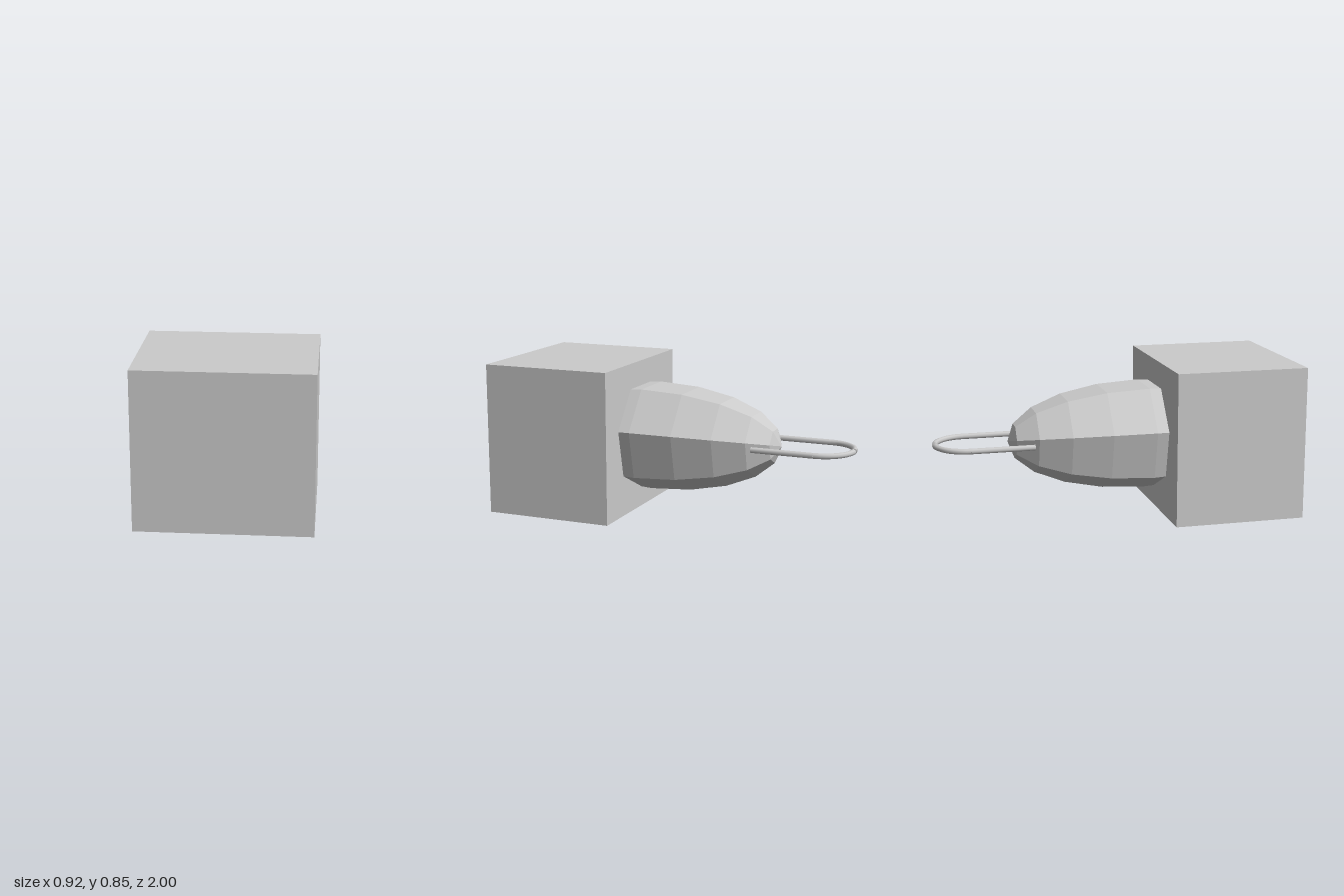
import * as THREE from 'three';

export function createModel() {
  const group = new THREE.Group();
  const flat = new THREE.MeshStandardMaterial({ color: 0xcccccc, flatShading: true });
  const smooth = new THREE.MeshStandardMaterial({ color: 0xcccccc });
  const add = (parent, name, geometry, material) => {
    const mesh = new THREE.Mesh(geometry, material);
    mesh.name = name;
    parent.add(mesh);
    return mesh;
  };

  // Square block at the front
  add(group, 'block', new THREE.BoxGeometry(0.92, 0.85, 0.735), flat)
    .position.set(0, 0.425, 0.6325);

  // Seven-sided ellipsoid pointing backwards, one ridge straight down
  const body = new THREE.SphereGeometry(1, 7, 10, -Math.PI / 2);
  body.rotateX(-Math.PI / 2);
  body.scale(0.317, 0.317, 0.782);
  add(group, 'taperedBody', body, flat).position.set(0, 0.425, 0.2);

  // Wire loop: two mirrored hooks with a small gap at the back
  const loop = new THREE.Group();
  loop.name = 'wireLoop';
  loop.position.set(-0.015, 0.428, 0);
  group.add(loop);

  const bend = 0.175, bendZ = -0.81, wire = 0.016, legEnd = -0.46, gap = 0.04;
  for (const side of [1, -1]) {
    const name = side > 0 ? 'left' : 'right';

    // Straight leg, capped at its free end
    const leg = new THREE.CylinderGeometry(wire, wire, legEnd - bendZ, 8);
    leg.rotateX(Math.PI / 2);
    add(loop, name + 'Leg', leg, smooth)
      .position.set(side * bend, 0, (legEnd + bendZ) / 2);

    // Quarter bend towards the middle
    const points = [];
    for (let i = 0; i <= 10; i++) {
      const a = (i / 10) * (Math.PI / 2 - gap);
      points.push(new THREE.Vector3(side * bend * Math.cos(a), 0, bendZ - bend * Math.sin(a)));
    }
    const curve = new THREE.CatmullRomCurve3(points);
    add(loop, name + 'Bend', new THREE.TubeGeometry(curve, 12, wire, 8), smooth);

    // Cap closing the bend at the gap
    const cap = add(loop, name + 'Cap', new THREE.CircleGeometry(wire, 8), smooth);
    cap.position.copy(points[10]);
    cap.quaternion.setFromUnitVectors(new THREE.Vector3(0, 0, 1), curve.getTangent(1));
  }
  return group;
}
